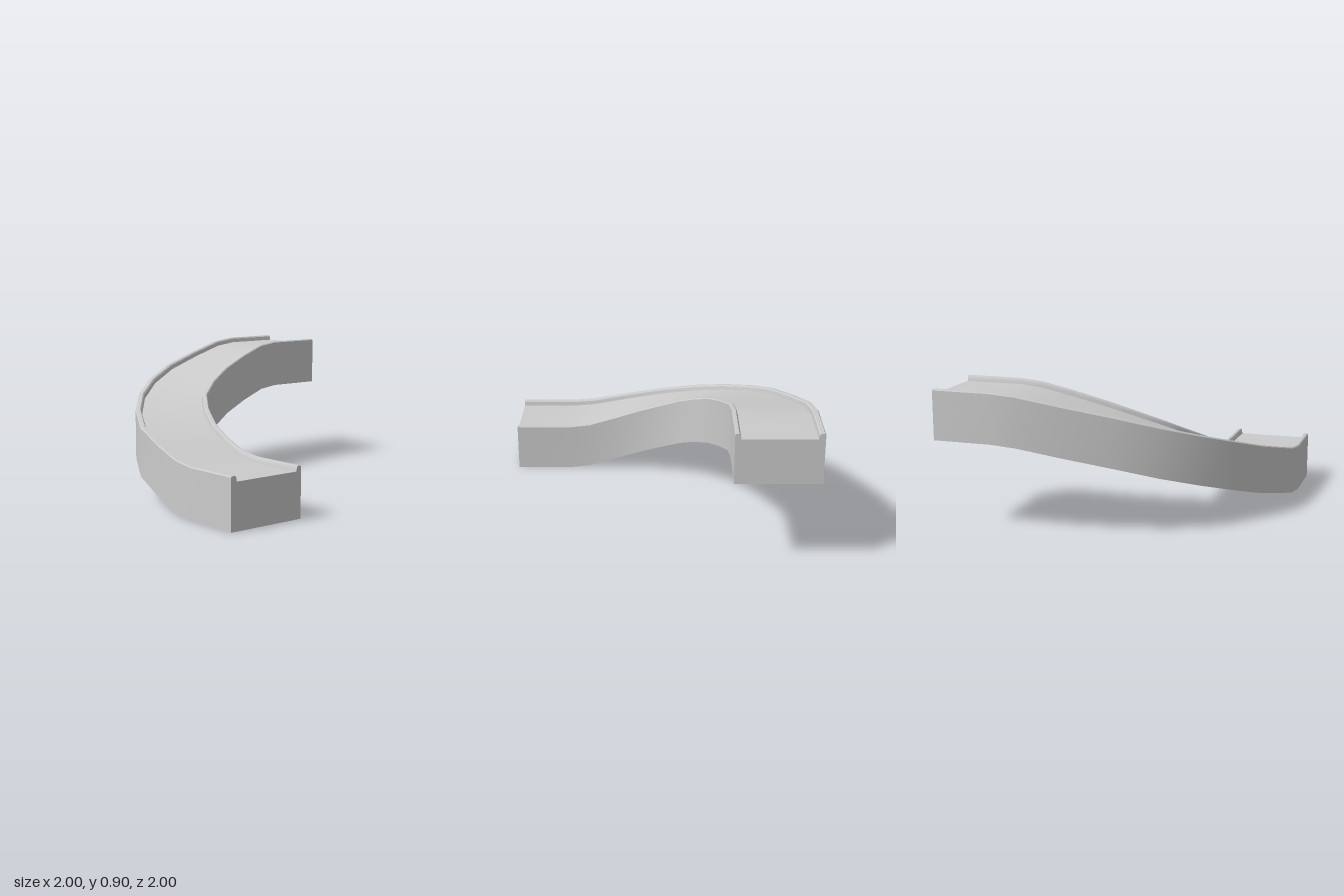
import * as THREE from 'three';
import { toCreasedNormals } from 'three/addons/utils/BufferGeometryUtils.js';

// Stations along the bend: outer x, outer z, inner x, inner z, height of the underside
const stations = [
  [-1, 1, -0.47, 1, 0],
  [-1, 0.62, -0.47, 0.62, 0],
  [-0.988, 0.46, -0.466, 0.48, 0.018],
  [-0.95, 0.225, -0.45, 0.31, 0.075],
  [-0.88, 0.054 * -1, -0.415, 0.134, 0.145],
  [-0.752, -0.29, -0.345, 0.03 * -1, 0.218],
  [-0.58, -0.5, -0.255, -0.166, 0.29],
  [-0.367, -0.675, -0.11, -0.268, 0.362],
  [-0.12, -0.805, 0.067, -0.348, 0.435],
  [0.19, -0.91, 0.276, -0.41, 0.505],
  [0.455, -0.98, 0.48, -0.46, 0.563],
  [0.62, -1, 0.62, -0.47, 0.58],
  [1, -1, 1, -0.47, 0.58],
];

// Cross-section: distance from the outer wall, height; counter-clockwise
const WIDTH = 0.53;
const profile = [
  [0, 0], [WIDTH, 0],
  [WIDTH, 0.315], [WIDTH - 0.006, 0.322], [WIDTH - 0.024, 0.322], [WIDTH - 0.031, 0.314], [WIDTH - 0.037, 0.288],
  [0.042, 0.288], [0.037, 0.314], [0.03, 0.322], [0.006, 0.322], [0, 0.315],
];

// Sweeps a closed cross-section through the stations and caps both ends
function sweep(section, path) {
  const positions = [];
  const index = [];
  const n = section.length;
  for (const [ox, oz, ix, iz, base] of path) {
    const span = Math.hypot(ix - ox, iz - oz);
    for (const [d, y] of section) {
      // Kerbs keep their width; only the deck between them stretches
      const t = d < WIDTH / 2 ? d / span : 1 - (WIDTH - d) / span;
      positions.push(ox + (ix - ox) * t, base + y, oz + (iz - oz) * t);
    }
  }
  for (let s = 0; s < path.length - 1; s++) {
    for (let k = 0; k < n; k++) {
      const a = s * n + k;
      const b = s * n + (k + 1) % n;
      index.push(a, a + n, b + n, a, b + n, b);
    }
  }
  const contour = section.map(([d, y]) => new THREE.Vector2(d, y));
  const last = (path.length - 1) * n;
  for (const [a, b, c] of THREE.ShapeUtils.triangulateShape(contour, [])) {
    index.push(a, b, c, last + a, last + c, last + b);
  }
  const geometry = new THREE.BufferGeometry();
  geometry.setAttribute('position', new THREE.Float32BufferAttribute(positions, 3));
  geometry.setIndex(index);
  return toCreasedNormals(geometry, 0.5);
}

export function createModel() {
  const group = new THREE.Group();
  group.name = 'curvedRamp';

  // Rising quarter-turn deck with a low kerb along each side
  const material = new THREE.MeshStandardMaterial({ color: 0xcccccc });
  const ramp = new THREE.Mesh(sweep(profile, stations), material);
  ramp.name = 'kerbedRampDeck';
  group.add(ramp);

  return group;
}
